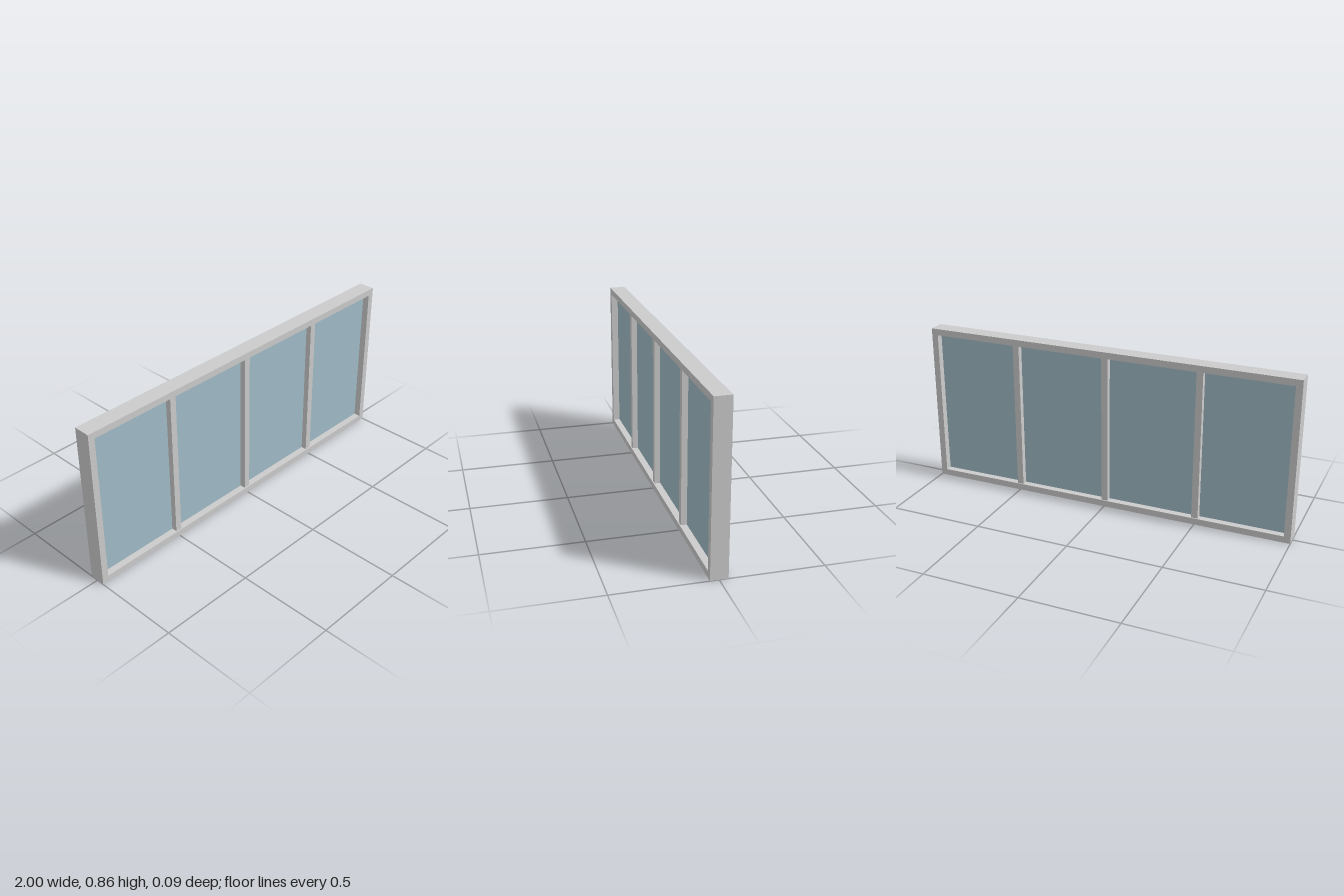
import * as THREE from 'three';

const W = 2, H = 0.857, D = 0.086; // overall size
const BAR = 0.034;                 // visible width of frame and mullions
const MULLION_D = 0.074, GLASS_D = 0.014;

export function createModel() {
  const group = new THREE.Group();
  const grey = new THREE.MeshStandardMaterial({ color: 0xcccccc });
  const glass = new THREE.MeshStandardMaterial({ color: 0xa0bbc6 });

  const add = (name, geometry, material, x = 0, y = 0) => {
    const mesh = new THREE.Mesh(geometry, material);
    mesh.name = name;
    mesh.position.set(x, y, 0);
    group.add(mesh);
  };
  const rect = (shape, x0, y0, x1, y1) =>
    shape.moveTo(x0, y0).lineTo(x1, y0).lineTo(x1, y1).lineTo(x0, y1).closePath();

  // Outer frame: one extruded rectangle with a rectangular opening
  const outline = new THREE.Shape();
  rect(outline, -W / 2, 0, W / 2, H);
  const opening = new THREE.Path();
  rect(opening, -W / 2 + BAR, BAR, W / 2 - BAR, H - BAR);
  outline.holes.push(opening);
  const frame = new THREE.ExtrudeGeometry(outline, { depth: D, bevelEnabled: false });
  add('frame', frame.translate(0, 0, -D / 2), grey);

  // Three mullions, set slightly back from the frame faces
  const innerH = H - 2 * BAR;
  const mullionXs = [-0.5, 0, 0.5];
  for (const x of mullionXs) {
    add('mullion', new THREE.BoxGeometry(BAR, innerH, MULLION_D), grey, x, H / 2);
  }

  // Four panes filling the gaps between the bars
  const bars = [-W / 2 + BAR / 2, ...mullionXs, W / 2 - BAR / 2];
  for (let i = 0; i < bars.length - 1; i++) {
    const width = bars[i + 1] - bars[i] - BAR;
    const centre = (bars[i] + bars[i + 1]) / 2;
    add('pane', new THREE.BoxGeometry(width, innerH, GLASS_D), glass, centre, H / 2);
  }
  return group;
}
